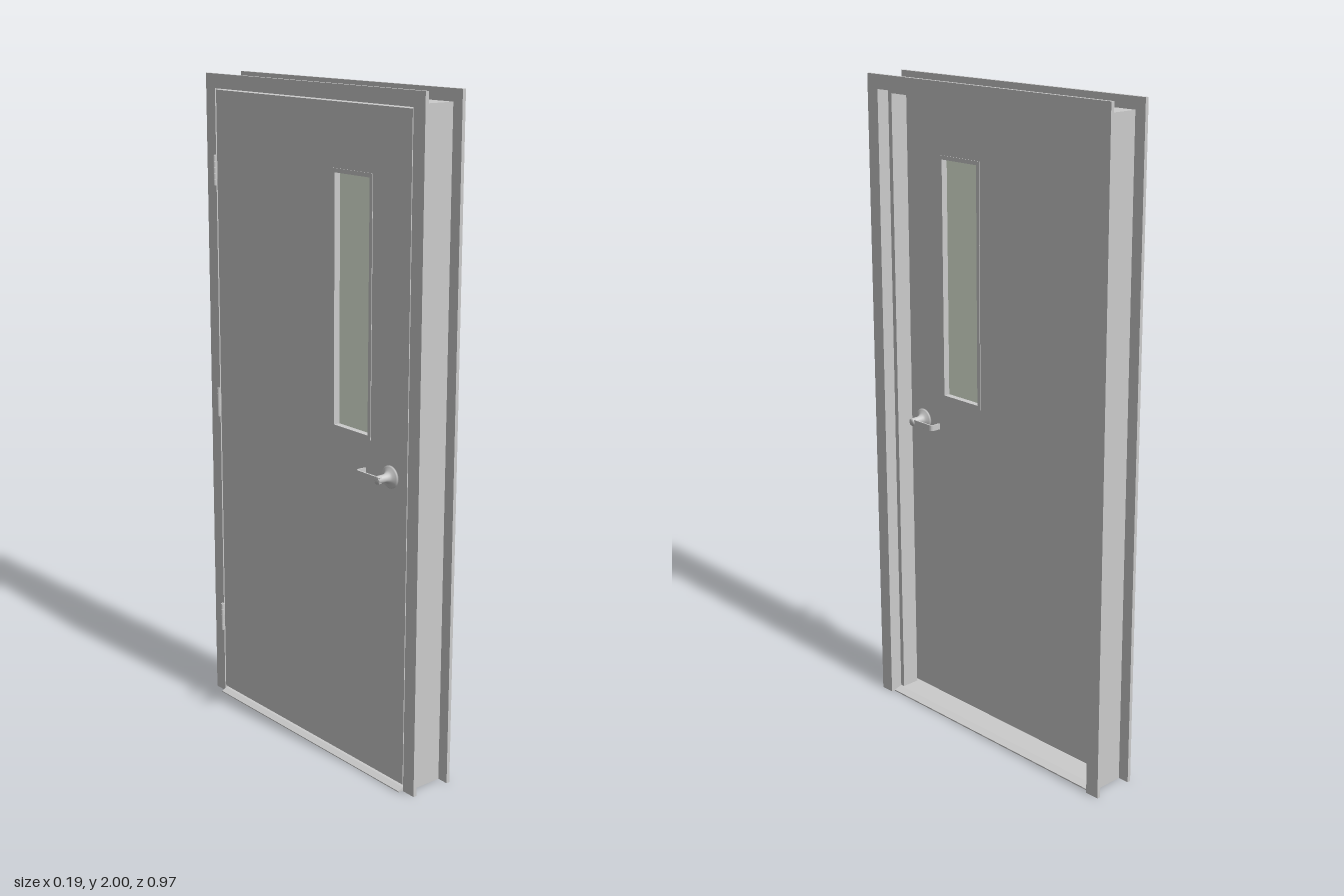
import * as THREE from 'three';

const grey = new THREE.MeshStandardMaterial({ color: 0xcccccc });
const glassMaterial = new THREE.MeshStandardMaterial({ color: 0xecf6e4 });

function add(parent, name, geometry, material = grey) {
  const mesh = new THREE.Mesh(geometry, material);
  mesh.name = name;
  parent.add(mesh);
  return mesh;
}

// Extrudes a shape drawn in (-z, y) along x, from x0 to x1
function slab(shape, x0, x1) {
  return new THREE.ExtrudeGeometry(shape, { depth: x1 - x0, bevelEnabled: false, curveSegments: 8 })
    .translate(0, 0, x0)
    .rotateY(Math.PI / 2);
}

function polygon(points, Type = THREE.Shape) {
  return new Type(points.map(([x, y]) => new THREE.Vector2(x, y)));
}

// Upside-down U that runs up both jambs and across the head
function portal(outer, outerTop, inner, innerTop) {
  return polygon([
    [-outer, 0], [-inner, 0], [-inner, innerTop], [inner, innerTop],
    [inner, 0], [outer, 0], [outer, outerTop], [-outer, outerTop],
  ]);
}

// Rectangular ring around the window, given in z and y
function rectangle(z0, z1, y0, y1, Type = THREE.Shape) {
  return polygon([[-z1, y0], [-z0, y0], [-z0, y1], [-z1, y1]], Type);
}

function ring(outer, inner) {
  const shape = rectangle(...outer);
  shape.holes.push(rectangle(...inner, THREE.Path));
  return shape;
}

// Handle pointing along +x, with its lever towards -z
function createHandle() {
  const handle = new THREE.Group();
  const profile = [
    [0, 0], [0.033, 0], [0.033, 0.004], [0.029, 0.006], [0.02, 0.01],
    [0.015, 0.015], [0.012, 0.023], [0.012, 0.051], [0, 0.051],
  ].map(([r, h]) => new THREE.Vector2(r, h));
  add(handle, 'handleRose', new THREE.LatheGeometry(profile, 32).rotateZ(-Math.PI / 2))
    .material = new THREE.MeshStandardMaterial({ color: 0xcccccc, side: THREE.DoubleSide });

  // Flat lever with its end returning to the door
  const outline = new THREE.Shape();
  outline.moveTo(-0.01, 0.051);
  outline.lineTo(0.08, 0.051);
  outline.quadraticCurveTo(0.092, 0.051, 0.092, 0.039);
  outline.lineTo(0.092, 0.016);
  outline.lineTo(0.087, 0.016);
  outline.lineTo(0.087, 0.038);
  outline.quadraticCurveTo(0.087, 0.046, 0.079, 0.046);
  outline.lineTo(0.02, 0.045);
  outline.lineTo(-0.01, 0.043);
  const lever = new THREE.ExtrudeGeometry(outline, { depth: 0.018, bevelEnabled: false, curveSegments: 8 });
  lever.translate(0, 0, -0.009);
  lever.applyMatrix4(new THREE.Matrix4().makeBasis(
    new THREE.Vector3(0, 0, -1), new THREE.Vector3(1, 0, 0), new THREE.Vector3(0, -1, 0)));
  add(handle, 'handleLever', lever);
  return handle;
}

export function createModel() {
  const model = new THREE.Group();
  model.name = 'door';

  // Frame: two face trims, the lining between them and the door stop
  const frame = new THREE.Group();
  frame.name = 'frame';
  model.add(frame);
  const trim = portal(0.485, 2, 0.44, 1.957);
  add(frame, 'hingeSideTrim', slab(trim, -0.047, -0.036));
  add(frame, 'stopSideTrim', slab(trim, 0.084, 0.095));
  add(frame, 'frameLining', slab(portal(0.45, 1.965, 0.44, 1.957), -0.036, 0.084));
  add(frame, 'doorStop', slab(portal(0.44, 1.957, 0.425, 1.943), -0.002, 0.055));

  // Threshold with sloping edges
  const sill = polygon([[-0.062, 0], [0.085, 0], [0.085, 0.004], [0.06, 0.011], [-0.045, 0.011], [-0.062, 0.003]]);
  add(model, 'threshold', new THREE.ExtrudeGeometry(sill, { depth: 0.874, bevelEnabled: false })
    .translate(0, 0, -0.437));

  // Door leaf with a window opening
  const faceBack = -0.046, faceFront = -0.003;
  const opening = [0.117, 0.275, 1.033, 1.765];
  add(model, 'doorLeaf', slab(ring([-0.436, 0.436, 0.019, 1.953], opening), faceBack, faceFront));

  // Window: lining, thin lips on both faces, and the pane
  const clear = [0.122, 0.27, 1.038, 1.76];
  const lip = ring([0.11, 0.282, 1.026, 1.772], clear);
  add(model, 'windowLining', slab(ring(opening, clear), faceBack, faceFront));
  add(model, 'windowLipBack', slab(lip, faceBack - 0.002, faceBack));
  add(model, 'windowLipFront', slab(lip, faceFront, faceFront + 0.002));
  add(model, 'windowPane', slab(rectangle(...clear), -0.028, -0.021), glassMaterial);

  // Lever handles on both faces
  for (const [name, x, turn] of [['handleFront', faceFront, 0], ['handleBack', faceBack, Math.PI]]) {
    const handle = createHandle();
    handle.name = name;
    handle.position.set(x, 0.94, 0.368);
    handle.rotation.z = turn;
    model.add(handle);
  }

  // Three hinges, each with a knuckle barrel in segments and a leaf plate
  for (const y of [0.265, 0.99, 1.715]) {
    const hinge = new THREE.Group();
    hinge.name = 'hinge';
    hinge.position.set(-0.053, y, -0.438);
    for (let i = -2; i <= 2; i++) {
      add(hinge, 'hingeKnuckle', new THREE.CylinderGeometry(0.006, 0.006, 0.0172, 16))
        .position.y = i * 0.018;
    }
    add(hinge, 'hingePin', new THREE.CylinderGeometry(0.0045, 0.0045, 0.092, 12));
    add(hinge, 'hingePlate', new THREE.BoxGeometry(0.04, 0.088, 0.003)).position.x = 0.02;
    model.add(hinge);
  }

  return model;
}
